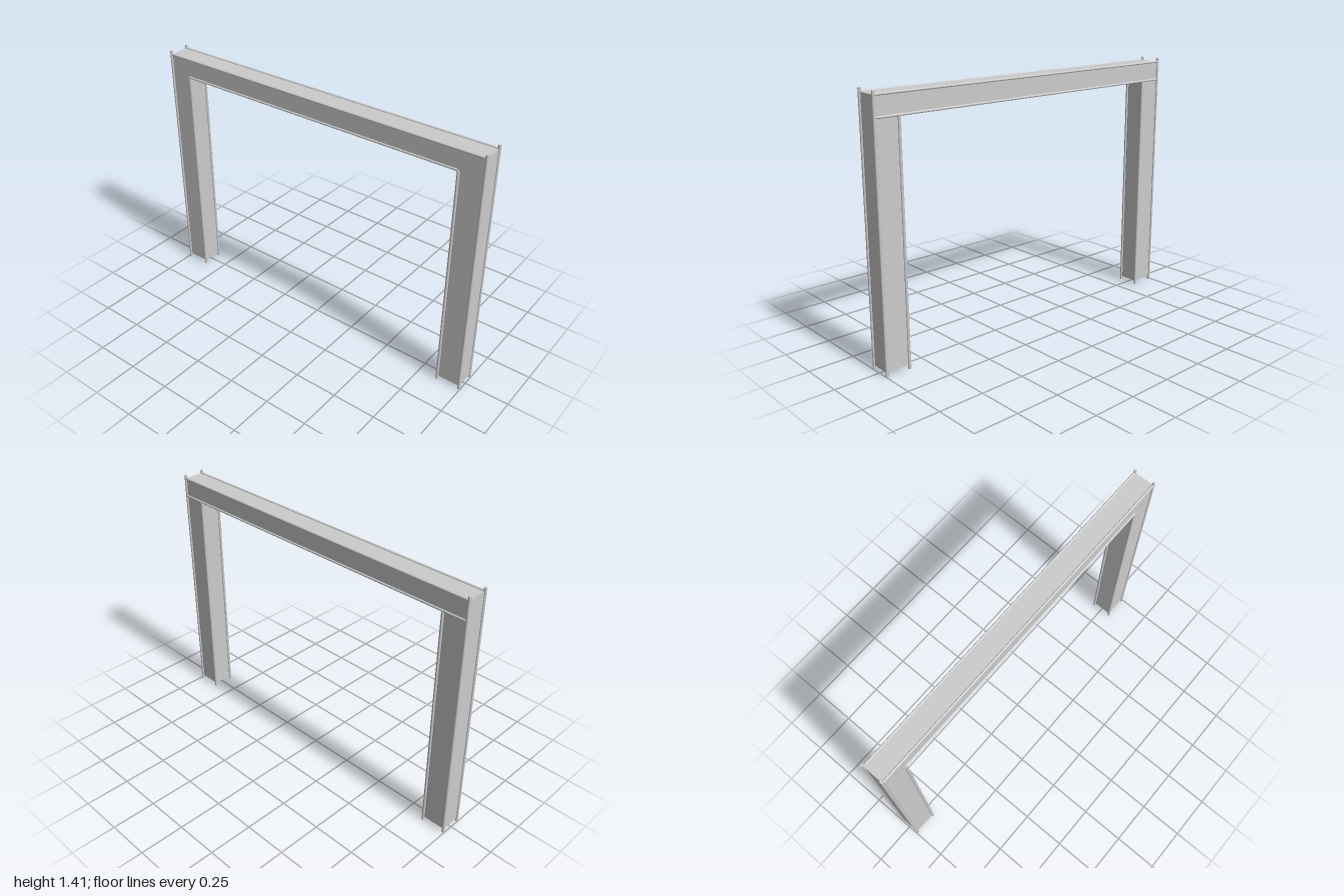
import * as THREE from 'three';

const X = 0.058;       // corner rod centre, sideways
const OUTER = 0.992;   // outer rod centre, along z
const INNER = 0.859;   // inner rod centre, along z
const R = 0.008;       // rod radius
const BEAM_LOW = 1.28, BEAM_TOP = 1.39, POST_TOP = 1.41;

export function createModel() {
  const group = new THREE.Group();
  const material = new THREE.MeshStandardMaterial({ color: 0xcccccc });

  const add = (name, geometry, x, y, z) => {
    const mesh = new THREE.Mesh(geometry, material);
    mesh.name = name;
    mesh.position.set(x, y, z);
    group.add(mesh);
    return mesh;
  };
  const uprightRod = (name, x, z, top) =>
    add(name, new THREE.CylinderGeometry(R, R, top, 12), x, top / 2, z);
  const beamRod = (name, x, y, length) => {
    add(name, new THREE.CylinderGeometry(R * 0.8, R * 0.8, length, 12), x, y, 0)
      .rotation.x = Math.PI / 2;
  };

  // Boxed columns, raised slightly on their corner rods
  for (const s of [1, -1]) {
    const end = s > 0 ? 'front' : 'back';
    const height = BEAM_LOW - 0.02;
    add(end + 'Column', new THREE.BoxGeometry(2 * X, height, OUTER - INNER),
      0, 0.02 + height / 2, s * (OUTER + INNER) / 2);
    for (const side of [1, -1]) {
      uprightRod(end + 'OuterRod', side * X, s * OUTER, POST_TOP);
      uprightRod(end + 'InnerRod', side * X, s * INNER, BEAM_LOW);
    }
  }

  // Boxed cross beam
  add('beam', new THREE.BoxGeometry(2 * X, BEAM_TOP - BEAM_LOW, 2 * OUTER),
    0, (BEAM_TOP + BEAM_LOW) / 2, 0);

  // Rods along the beam edges; the lower +x one runs over the columns
  for (const side of [1, -1]) beamRod('beamTopRod', side * X, BEAM_TOP, 2 * OUTER);
  beamRod('beamBottomRod', X, BEAM_LOW + 0.004, 2 * OUTER);
  beamRod('beamBottomRod', -X, BEAM_LOW + 0.004, 2 * INNER);

  return group;
}
